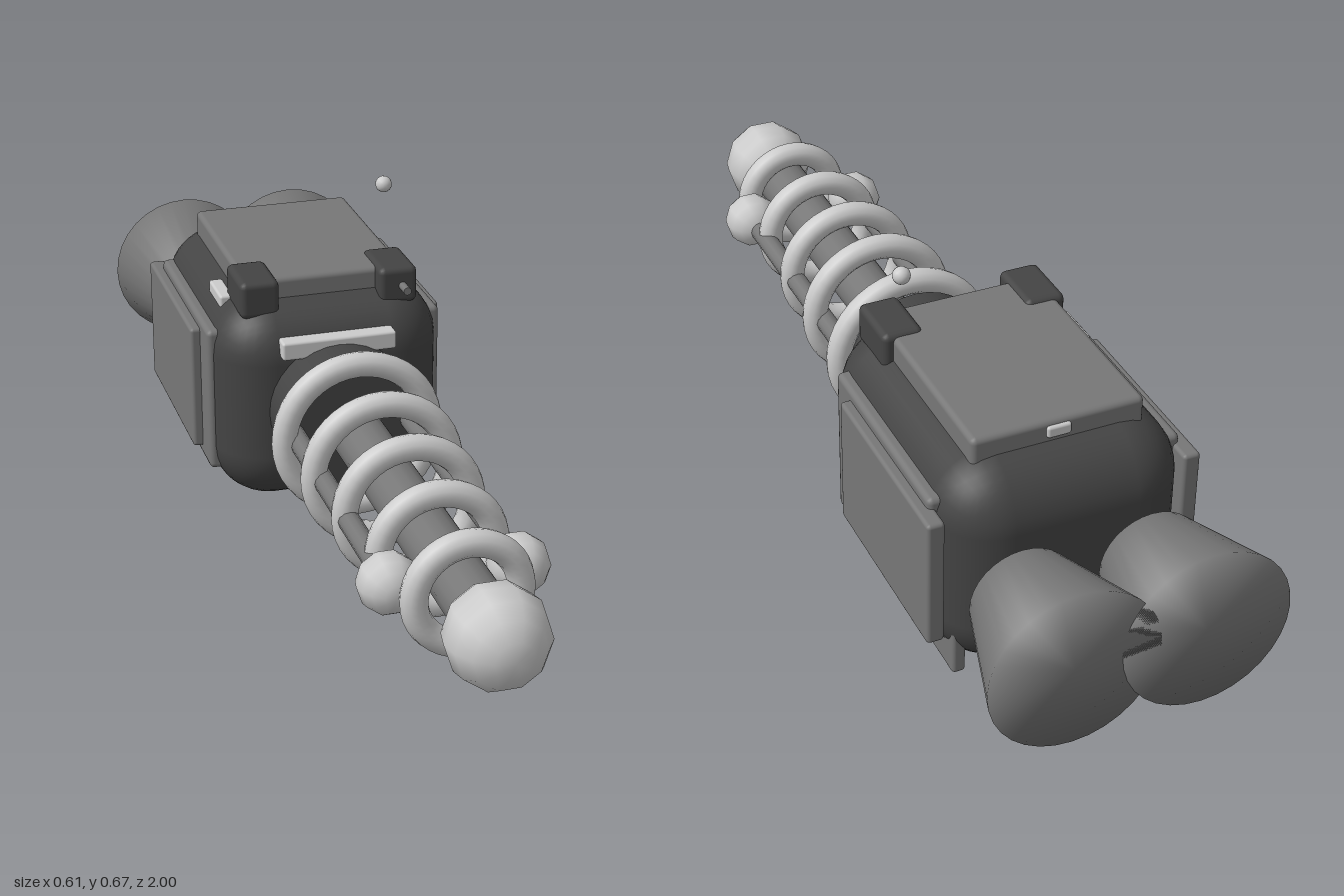
import * as THREE from 'three';
import { RoundedBoxGeometry } from 'three/addons/geometries/RoundedBoxGeometry.js';
import { mergeVertices } from 'three/addons/utils/BufferGeometryUtils.js';

const AXIS_Y = 0.24;
const light = new THREE.MeshStandardMaterial({ color: 0xcccccc });
const mid = new THREE.MeshStandardMaterial({ color: 0x777777 });
const dark = new THREE.MeshStandardMaterial({ color: 0x444444 });

export function createModel() {
  const model = new THREE.Group();
  model.name = 'spacecraft';

  const add = (name, geometry, material, x, y, z) => {
    const mesh = new THREE.Mesh(geometry, material);
    mesh.name = name;
    mesh.position.set(x, y, z);
    model.add(mesh);
    return mesh;
  };

  // Rounded box given by its minimum and maximum corners
  const box = (name, material, [x0, y0, z0], [x1, y1, z1], radius, segments = 2) =>
    add(name, new RoundedBoxGeometry(x1 - x0, y1 - y0, z1 - z0, segments, radius), material,
      (x0 + x1) / 2, (y0 + y1) / 2, (z0 + z1) / 2);

  // Cylinder lying along z, from z0 (back) to z1 (front)
  const rod = (name, material, x, y, z0, z1, rBack, rFront = rBack, sides = 16) => {
    const geometry = new THREE.CylinderGeometry(rFront, rBack, z1 - z0, sides).rotateX(Math.PI / 2);
    return add(name, geometry, material, x, y, (z0 + z1) / 2);
  };

  // Faceted ball with its poles along z
  const ball = (name, x, y, z, r, sides = 10) =>
    add(name, new THREE.SphereGeometry(r, sides, 8).rotateX(Math.PI / 2), light, x, y, z);

  // Main hull and neck
  box('hull', dark, [-0.25, 0.005, -0.745], [0.25, 0.47, -0.1], 0.125, 4);
  rod('neck', dark, 0, AXIS_Y, -0.15, 0.01, 0.15, 0.15, 32);
  box('frontLightBar', light, [-0.125, 0.365, -0.14], [0.125, 0.405, -0.08], 0.006);

  // Boom with tip ball and tapering rings
  rod('boom', mid, 0, AXIS_Y, 0, 0.83, 0.057);
  ball('tipBall', 0, AXIS_Y, 0.9, 0.1);
  for (let i = 0; i < 5; i++) {
    const outer = 0.185 - i * 0.0138;
    add('boomRing', new THREE.TorusGeometry(outer - 0.027, 0.027, 12, 40), light,
      0, AXIS_Y, 0.047 + i * 0.174);
  }

  // Top hatch with rear latch
  box('topHatch', mid, [-0.178, 0.44, -0.65], [0.175, 0.51, -0.19], 0.012);
  box('hatchLatch', light, [-0.025, 0.475, -0.657], [0.025, 0.5, -0.635], 0.006);

  // Mirrored parts
  for (const s of [-1, 1]) {
    const pair = (name, material, [xa, y0, z0], [xb, y1, z1], radius) =>
      box(name, material, [Math.min(s * xa, s * xb), y0, z0], [Math.max(s * xa, s * xb), y1, z1], radius);

    rod('sideRod', mid, s * 0.127, AXIS_Y, 0, 0.66, 0.022, 0.022, 12);
    ball('sideBall', s * 0.127, AXIS_Y, 0.665, 0.061);

    pair('innerSidePanel', mid, [0.225, 0.075, -0.65], [0.26, 0.4, -0.2], 0.012);
    pair('outerSidePanel', mid, [0.245, 0.1, -0.695], [0.281, 0.38, -0.27], 0.008);
    pair('lowerFin', mid, [0.198, 0.003, -0.69], [0.226, 0.14, -0.375], 0.008);
    pair('hatchClamp', dark, [0.11, 0.435, -0.29], [0.195, 0.517, -0.155], 0.014);

    // Engine bell, closed and smoothly shaded over its rims
    const bell = rod('engineBell', mid, s * 0.132, AXIS_Y, -1, -0.78, 0.171, 0.104, 32);
    bell.geometry.deleteAttribute('normal');
    bell.geometry.deleteAttribute('uv');
    bell.geometry = mergeVertices(bell.geometry);
    bell.geometry.computeVertexNormals();
  }

  // Small details: corner handle, sensor pin and hovering beacon
  box('cornerHandle', light, [-0.217, 0.425, -0.36], [-0.187, 0.455, -0.255], 0.006);
  rod('sensorPin', mid, 0.161, 0.476, -0.17, -0.12, 0.009, 0.009, 10);
  ball('beacon', 0.162, 0.657, -0.3, 0.018, 16);

  return model;
}
